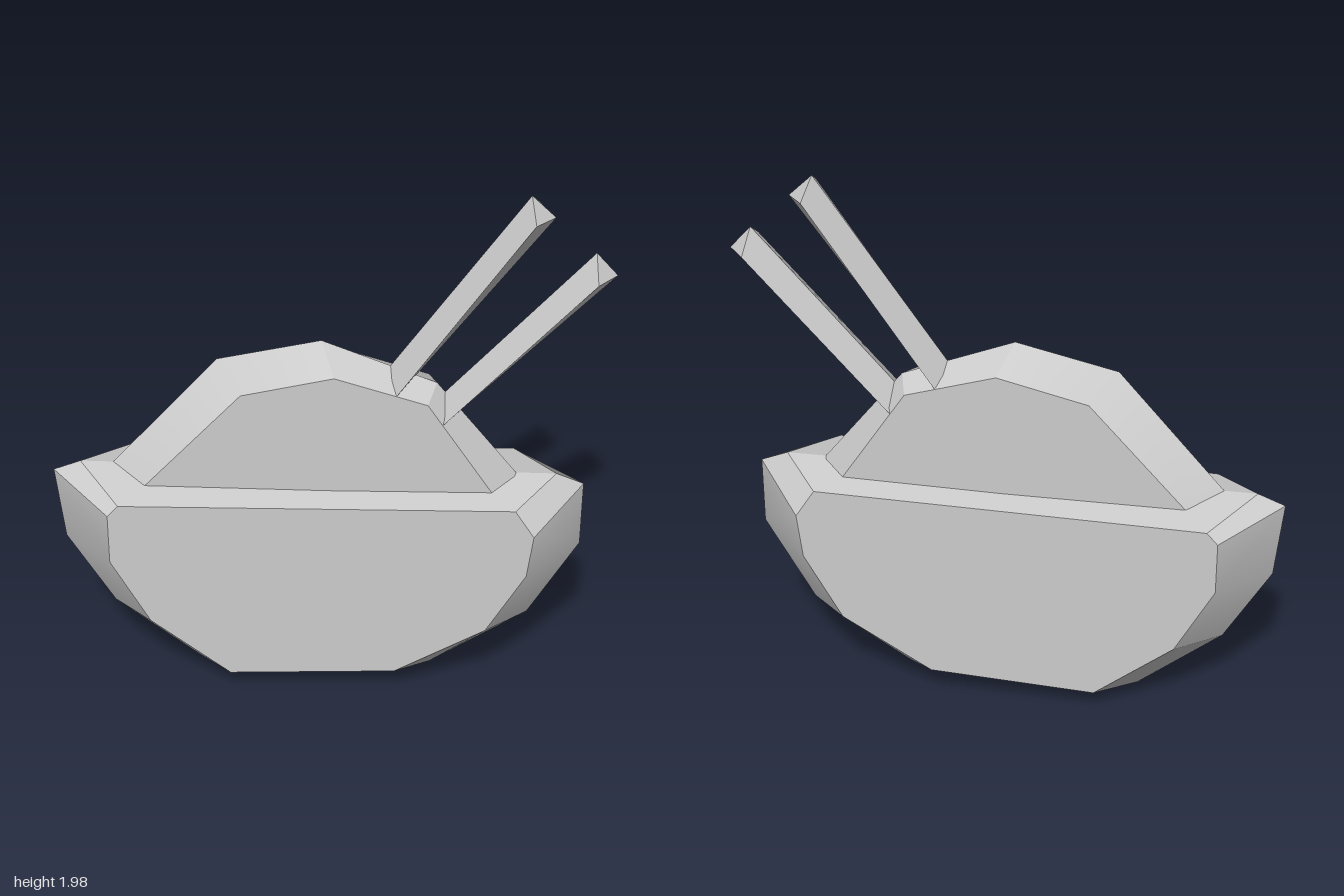
import * as THREE from 'three';

const material = new THREE.MeshStandardMaterial({ color: 0xcccccc });

// Slab with a ridge: the outer outline lies at z = 0, the inner one at z = +-h.
// Outlines run counterclockwise; corners listed in `smooth` get blended normals.
function ridgedSlab(name, outer, inner, h, smooth = []) {
  const n = outer.length;
  const positions = [], normals = [];

  for (const side of [1, -1]) {
    const rim = outer.map(([x, y]) => new THREE.Vector3(x, y, 0));
    const face = inner.map(([x, y]) => new THREE.Vector3(x, y, side * h));

    const addTriangle = (points, pointNormals) => {
      const area = points[1].clone().sub(points[0]).cross(points[2].clone().sub(points[0])).length();
      if (area < 1e-6) return;
      for (const k of side > 0 ? [0, 1, 2] : [0, 2, 1]) {
        positions.push(...points[k].toArray());
        normals.push(...pointNormals[k].toArray());
      }
    };

    // One normal per bevel, taken from its diagonals
    const bevels = rim.map((p, i) => {
      const j = (i + 1) % n;
      return face[j].clone().sub(p).cross(face[i].clone().sub(rim[j])).multiplyScalar(side).normalize();
    });
    const cornerNormal = (bevel, corner) => smooth.includes(corner)
      ? bevels[corner].clone().add(bevels[(corner + n - 1) % n]).normalize()
      : bevels[bevel];

    // Bevels from the rim to the flat face
    for (let i = 0; i < n; i++) {
      const j = (i + 1) % n;
      const a = cornerNormal(i, i), b = cornerNormal(i, j);
      addTriangle([rim[i], rim[j], face[j]], [a, b, b]);
      addTriangle([rim[i], face[j], face[i]], [a, b, a]);
    }

    // Flat face
    const flat = new THREE.Vector3(0, 0, side);
    for (let i = 1; i < n - 1; i++) addTriangle([face[0], face[i], face[i + 1]], [flat, flat, flat]);
  }

  const geometry = new THREE.BufferGeometry();
  geometry.setAttribute('position', new THREE.Float32BufferAttribute(positions, 3));
  geometry.setAttribute('normal', new THREE.Float32BufferAttribute(normals, 3));
  const mesh = new THREE.Mesh(geometry, material);
  mesh.name = name;
  return mesh;
}

// Diamond-section stick: each end is given as [upper edge, side edge, lower edge]
function stick(name, tip, end) {
  return ridgedSlab(name, [tip[0], end[0], end[2], tip[2]], [tip[1], end[1], end[1], tip[1]], 0.11);
}

export function createModel() {
  const group = new THREE.Group();
  group.name = 'riceBowl';

  // Bowl
  group.add(ridgedSlab('bowl',
    [[-1, 0.83], [-0.97, 0.54], [-0.8, 0.25], [-0.49, 0], [0.39, 0],
      [0.75, 0.25], [0.93, 0.57], [0.93, 0.83], [0.83, 0.87], [-0.9, 0.87]],
    [[-0.78, 0.77], [-0.78, 0.57], [-0.64, 0.31], [-0.35, 0.08], [0.26, 0.11],
      [0.59, 0.31], [0.73, 0.56], [0.75, 0.73], [0.68, 0.84], [-0.74, 0.815]],
    0.21, [1, 6]));

  // Heap of food, sunk a little into the bowl
  group.add(ridgedSlab('foodHeap',
    [[-0.84, 0.8], [0.74, 0.8], [0.39, 1.24], [-0.02, 1.4], [-0.39, 1.315]],
    [[-0.69, 0.8], [0.63, 0.8], [0.36, 1.21], [0.03, 1.31], [-0.3, 1.23]],
    0.11, [4]));

  // Chopsticks
  group.add(stick('upperChopstick',
    [[0.69, 1.98], [0.705, 1.92], [0.775, 1.9]],
    [[0.2, 1.27], [0.25, 1.245], [0.28, 1.22]]));
  group.add(stick('lowerChopstick',
    [[0.92, 1.77], [0.925, 1.7], [0.997, 1.685]],
    [[0.39, 1.17], [0.415, 1.13], [0.46, 1.11]]));

  return group;
}
